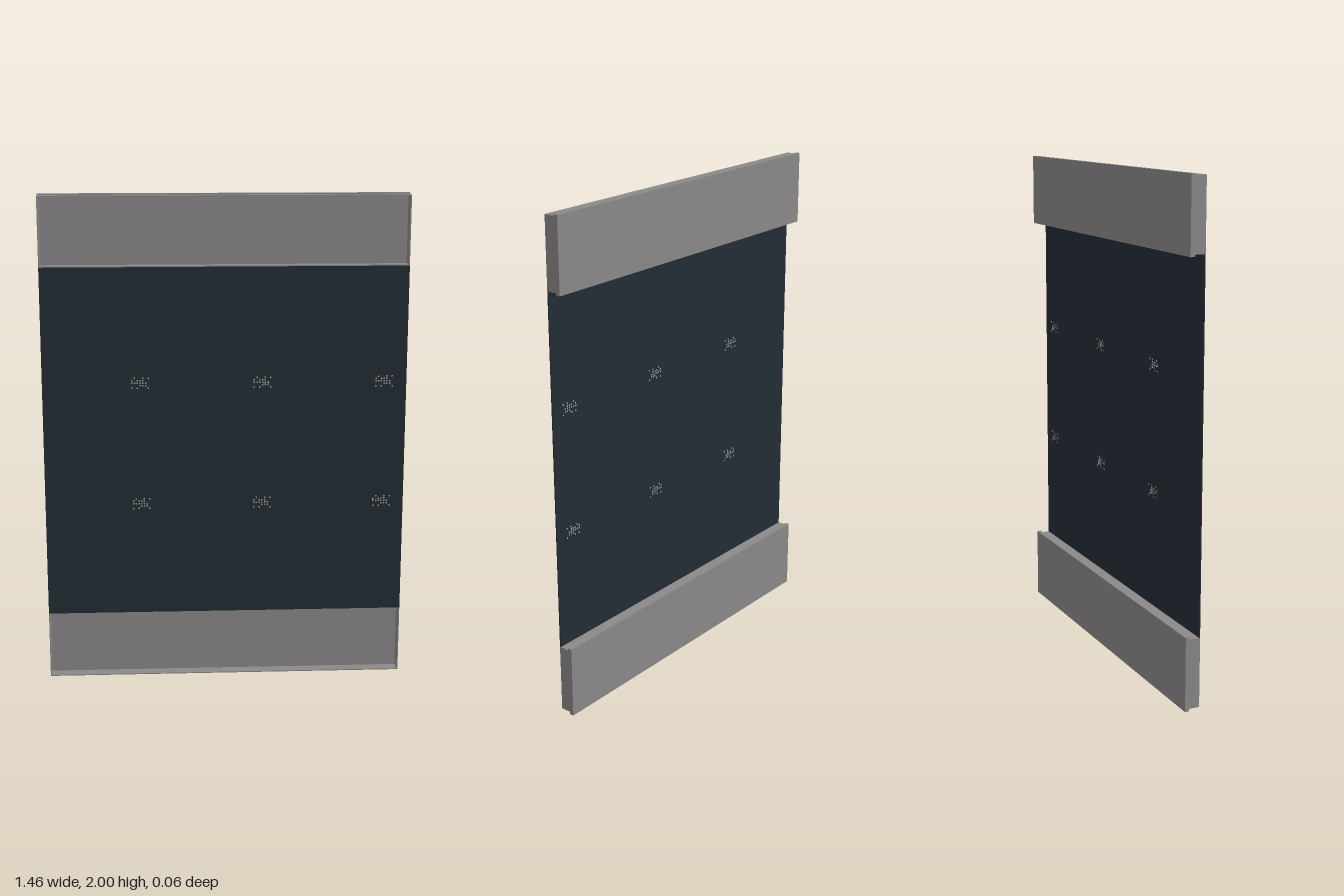
import * as THREE from 'three';
import { mergeGeometries } from 'three/addons/utils/BufferGeometryUtils.js';

const W = 1.46;      // full width
const T = 0.004;     // sheet thickness
const FRONT = 0.03, STEP = -0.013, BACK = -0.03;

// Box given by its minimum and maximum corners
function span(x0, x1, y0, y1, z0, z1) {
  return new THREE.BoxGeometry(x1 - x0, y1 - y0, z1 - z0)
    .translate((x0 + x1) / 2, (y0 + y1) / 2, (z0 + z1) / 2);
}

// Shallow tray open to the front, with a slightly taller rim at the back
function trayGeometry(y0, y1, f0, f1) {
  const h = W / 2;
  const parts = [span(-h, h, y0, y1, BACK, BACK + T)];
  // top and bottom walls, stepped outwards at the back
  parts.push(span(-h, h, f1 - T, f1, STEP, FRONT));
  parts.push(span(-h, h, f0, f0 + T, STEP, FRONT));
  parts.push(span(-h, h, y1 - T, y1, BACK + T, STEP));
  parts.push(span(-h, h, y0, y0 + T, BACK + T, STEP));
  // ledges joining the two steps
  parts.push(span(-h, h, f1 - T, y1, STEP - T, STEP));
  parts.push(span(-h, h, y0, f0 + T, STEP - T, STEP));
  // end walls
  for (const s of [-1, 1]) {
    const a = Math.min(s * h, s * (h - T)), b = Math.max(s * h, s * (h - T));
    parts.push(span(a, b, f0, f1, STEP, FRONT));
    parts.push(span(a, b, y0, y1, BACK + T, STEP));
  }
  return mergeGeometries(parts);
}

// Small cluster of flecks showing on both faces of the panel
function fleckGeometry() {
  let seed = 11;
  const rand = () => (seed = (seed * 16807) % 2147483647) / 2147483647;
  const dots = [];
  for (let i = -3; i <= 3; i++) {
    for (let j = -2; j <= 2; j++) {
      const fill = 0.75 - 0.12 * Math.abs(i) - 0.06 * Math.abs(j);
      if (rand() > fill) continue;
      dots.push(new THREE.BoxGeometry(0.006, 0.006, 0.006).translate(i * 0.011, j * 0.01, 0));
    }
  }
  return mergeGeometries(dots);
}

export function createModel() {
  const group = new THREE.Group();
  const metal = new THREE.MeshStandardMaterial({ name: 'grey metal', color: 0x8b888a });
  const dark = new THREE.MeshStandardMaterial({ name: 'dark blue panel', color: 0x222d35 });
  const pale = new THREE.MeshStandardMaterial({ name: 'pale fleck', color: 0xa8a29e });

  const add = (name, geometry, material) => {
    const mesh = new THREE.Mesh(geometry, material);
    mesh.name = name;
    group.add(mesh);
    return mesh;
  };

  add('upperTray', trayGeometry(1.71, 2.0, 1.718, 1.995), metal);
  add('lowerTray', trayGeometry(0, 0.295, 0.01, 0.287), metal);

  // Thin panel flush with the tray fronts
  add('panel', span(-W / 2, W / 2, 0.287, 1.718, FRONT - T, FRONT), dark);

  const fleck = fleckGeometry();
  for (const y of [0.755, 1.255]) {
    for (const x of [-0.34, 0.15, 0.64]) {
      add('panelFleck', fleck, pale).position.set(x, y, FRONT - T / 2);
    }
  }
  return group;
}
